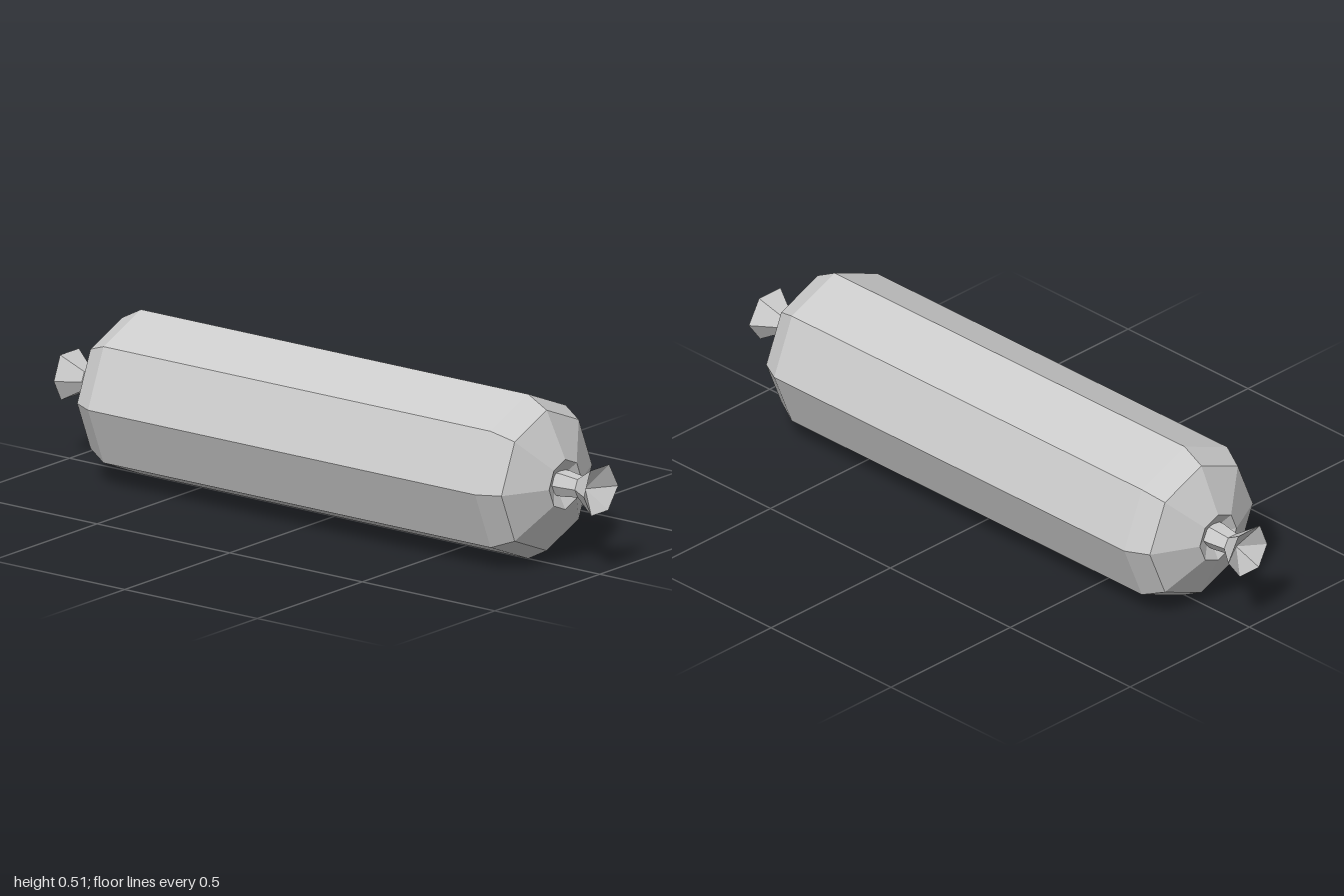
import * as THREE from 'three';

const CENTRE_Y = 0.255;
const material = new THREE.MeshStandardMaterial({ color: 0xcccccc, flatShading: true });

// Eight-sided casing with rounded ends and a dimple around each knot
function createCasing() {
  const half = [[0.253, 0.73], [0.216, 0.8], [0.077, 0.87], [0.03, 0.845], [0, 0.845]];
  const profile = [
    ...half.map(([r, x]) => new THREE.Vector2(r, -x)).reverse(),
    ...half.map(([r, x]) => new THREE.Vector2(r, x)),
  ];
  const geometry = new THREE.LatheGeometry(profile, 8);
  geometry.rotateZ(-Math.PI / 2);
  const mesh = new THREE.Mesh(geometry, material);
  mesh.name = 'casing';
  return mesh;
}

// Pinched six-sided knot flaring to a hollow, uneven rim
function createTwistedEnd(side) {
  const rim = [[0.075, 0.045], [0.075, -0.045], [0, -0.075], [-0.065, -0.04], [-0.065, 0.04], [0, 0.088]]
    .map(([y, z]) => [y, -z]);
  const sections = [[0.84, 0.5], [0.87, 0.5], [0.93, 0.4], [1, 1]];
  const sides = rim.length;
  const positions = [];
  const indices = [];
  for (const [x, scale] of sections) {
    for (const [y, z] of rim) positions.push(side * x, y * scale, z * scale);
  }
  const tip = positions.length / 3;
  positions.push(side * 0.945, 0, 0);
  const addFace = (a, b, c) => (side > 0 ? indices.push(a, b, c) : indices.push(a, c, b));

  // rim runs from +y towards +z, i.e. anticlockwise seen from the outer end
  const turn = Math.sign(rim[0][0] * rim[1][1] - rim[0][1] * rim[1][0]);
  const add = (a, b, c) => (turn > 0 ? addFace(a, b, c) : addFace(a, c, b));
  for (let i = 0; i < sides; i++) {
    const j = (i + 1) % sides;
    for (let s = 0; s < sections.length - 1; s++) {
      const a = s * sides;
      const b = a + sides;
      add(a + i, a + j, b + j);
      add(a + i, b + j, b + i);
    }
    const last = (sections.length - 1) * sides;
    add(last + i, last + j, tip);
  }
  const geometry = new THREE.BufferGeometry();
  geometry.setAttribute('position', new THREE.Float32BufferAttribute(positions, 3));
  geometry.setIndex(indices);
  geometry.computeVertexNormals();
  const mesh = new THREE.Mesh(geometry, material);
  mesh.name = side > 0 ? 'leftTwistedEnd' : 'rightTwistedEnd';
  return mesh;
}

export function createModel() {
  const model = new THREE.Group();
  model.name = 'sausage';
  model.add(createCasing(), createTwistedEnd(1), createTwistedEnd(-1));
  for (const part of model.children) part.position.y = CENTRE_Y;
  return model;
}
